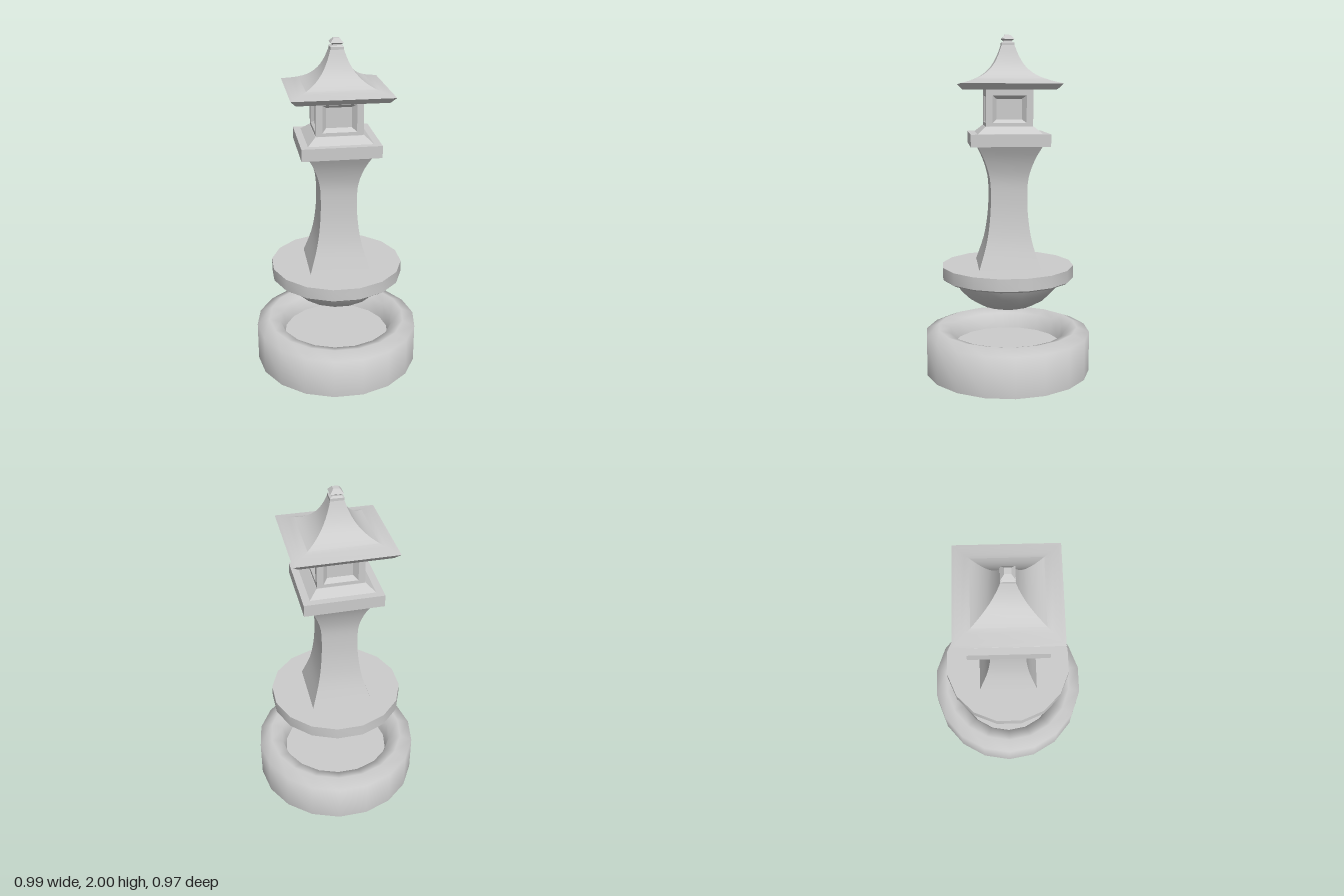
import * as THREE from 'three';
import { toCreasedNormals } from 'three/addons/utils/BufferGeometryUtils.js';

const stone = new THREE.MeshStandardMaterial({ color: 0xcccccc });
const shell = new THREE.MeshStandardMaterial({ color: 0xcccccc, side: THREE.DoubleSide });

// Turned solid with few sides; profile is [radius, y] from the bottom outward and up
function turned(profile, sides, start, crease) {
  const points = profile.map(([r, y]) => new THREE.Vector2(r, y));
  return toCreasedNormals(new THREE.LatheGeometry(points, sides, start), crease);
}

// Square section solid; profile is [half width, y]
function square(profile, crease = 0.5) {
  return turned(profile.map(([h, y]) => [h * Math.SQRT2, y]), 4, Math.PI / 4, crease);
}

function rectangle(target, w, y0, y1) {
  return target.moveTo(-w, y0).lineTo(w, y0).lineTo(w, y1).lineTo(-w, y1).closePath();
}

export function createModel() {
  const model = new THREE.Group();
  const add = (name, geometry, material = stone, parent = model) => {
    const mesh = new THREE.Mesh(geometry, material);
    mesh.name = name;
    parent.add(mesh);
    return mesh;
  };

  // Hollow base ring with a sunken floor, open underneath
  add('baseRing', turned([
    [0.495, 0], [0.495, 0.24], [0.42, 0.27], [0.35, 0.247], [0.325, 0.155], [0, 0.155],
  ], 18, Math.PI / 2, 1.25), shell);

  // Round-bottomed bowl with a wide flat rim
  add('bowl', turned([
    [0, 0.382], [0.08, 0.388], [0.16, 0.412], [0.23, 0.452], [0.285, 0.505], [0.32, 0.565],
    [0.38, 0.57], [0.394, 0.58], [0.394, 0.652], [0, 0.654],
  ], 16, Math.PI / 16, 0.75));

  // Waisted square post
  const waist = new THREE.SplineCurve([
    [0.18, 0.65], [0.134, 0.8], [0.112, 0.94], [0.106, 1.07], [0.112, 1.18], [0.143, 1.285], [0.185, 1.37],
  ].map(([h, y]) => new THREE.Vector2(h, y)));
  add('post', square(waist.getPoints(18).map((p) => [p.x, p.y])));

  // Platform slab and its tapered step
  add('platform', square([[0, 1.37], [0.226, 1.37], [0.226, 1.44], [0, 1.44]]));
  add('platformStep', square([[0.185, 1.44], [0.138, 1.48], [0, 1.48]]));

  // Lamp housing: four walls, each with a recessed tapered window
  const wall = rectangle(new THREE.Shape(), 0.135, 1.48, 1.7);
  wall.holes.push(rectangle(new THREE.Path(), 0.0975, 1.5, 1.656));
  const wallGeometry = new THREE.ShapeGeometry(wall);
  const recess = square([[0.078, 0], [0.058, -0.03], [0, -0.03]])
    .rotateX(Math.PI / 2).scale(1.25, 1, 1);
  for (let i = 0; i < 4; i++) {
    const side = new THREE.Group();
    side.name = 'lampSide';
    side.rotation.y = i * Math.PI / 2;
    add('lampWall', wallGeometry, stone, side).position.z = 0.135;
    add('window', recess, shell, side).position.set(0, 1.578, 0.135);
    model.add(side);
  }

  // Flared square roof with undercut eaves
  const slope = new THREE.SplineCurve([
    [0.285, 1.722], [0.215, 1.742], [0.148, 1.772], [0.095, 1.82], [0.06, 1.88], [0.038, 1.94],
  ].map(([h, y]) => new THREE.Vector2(h, y)));
  add('roof', square([[0, 1.69], [0.255, 1.69], ...slope.getPoints(15).map((p) => [p.x, p.y])]));

  // Stepped finial
  add('finial', square([
    [0.038, 1.938], [0.038, 1.955], [0.024, 1.962], [0.024, 1.968],
    [0.037, 1.976], [0.017, 2], [0, 2],
  ]));

  return model;
}
